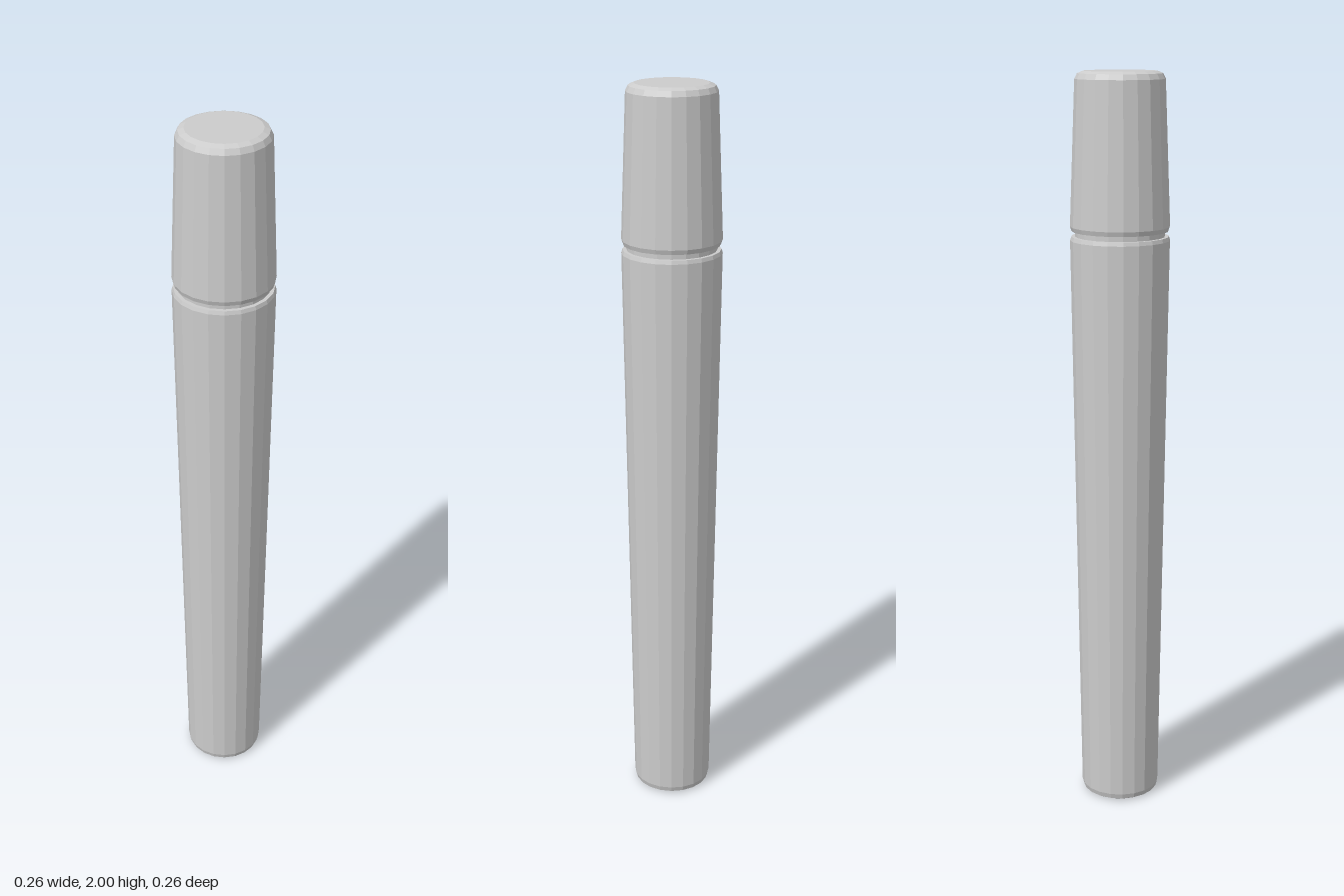
import * as THREE from 'three';

const SIDES = 20;

// Closed, faceted solid of revolution from [radius, height] pairs, bottom to top
function turned(name, profile, material) {
  const points = profile.map(([r, y]) => new THREE.Vector2(r, y));
  const mesh = new THREE.Mesh(new THREE.LatheGeometry(points, SIDES), material);
  mesh.name = name;
  return mesh;
}

export function createModel() {
  const group = new THREE.Group();
  group.name = 'cappedTube';

  const grey = new THREE.MeshStandardMaterial({ color: 0xcccccc, flatShading: true });
  grey.name = 'light grey';

  // Long body, widening upwards, with rounded foot
  group.add(turned('body', [
    [0, 0], [0.094, 0], [0.104, 0.006], [0.108, 0.02],
    [0.131, 1.57], [0.128, 1.58], [0, 1.58],
  ], grey));

  // Recessed neck seen in the gap under the cap
  group.add(turned('neck', [
    [0, 1.57], [0.118, 1.57], [0.118, 1.61], [0, 1.61],
  ], grey));

  // Tapered cap with a softened top edge
  group.add(turned('cap', [
    [0, 1.594], [0.127, 1.594], [0.131, 1.606],
    [0.117, 1.98], [0.11, 1.994], [0.095, 2], [0, 2],
  ], grey));

  return group;
}
